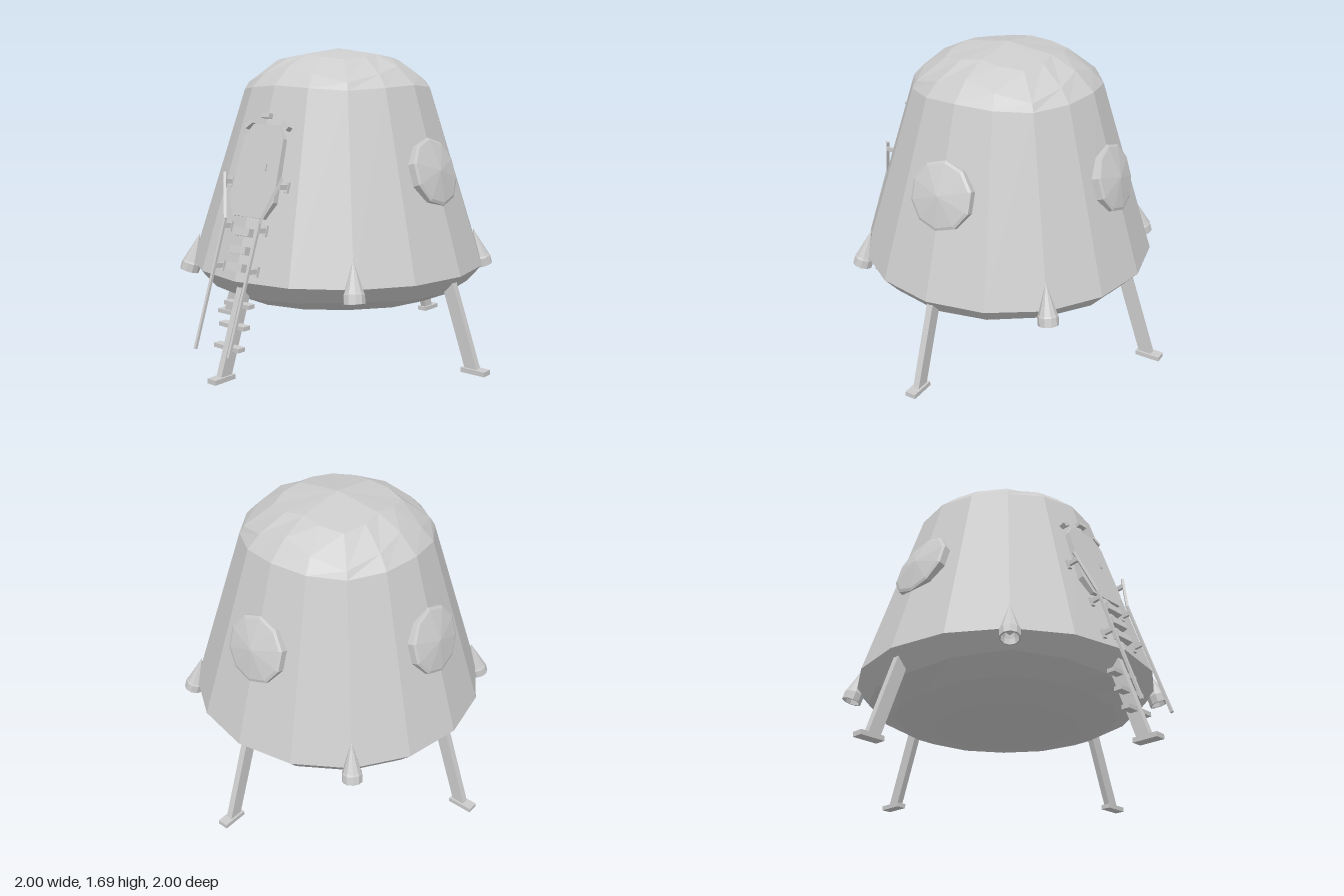
import * as THREE from 'three';

const material = new THREE.MeshStandardMaterial({ color: 0xcccccc, flatShading: true });
const openMaterial = new THREE.MeshStandardMaterial({ color: 0xcccccc, flatShading: true, side: THREE.DoubleSide });
const TILT = Math.atan(0.31 / 0.99);            // slope of the hull wall
const wall = (y) => 0.83 - (y - 0.5) * 0.313;   // hull radius at height y

function add(parent, name, geometry, x = 0, y = 0, z = 0, mat = material) {
  const mesh = new THREE.Mesh(geometry, mat);
  mesh.name = name;
  mesh.position.set(x, y, z);
  parent.add(mesh);
  return mesh;
}

const box = (parent, name, w, h, d, x, y, z) => add(parent, name, new THREE.BoxGeometry(w, h, d), x, y, z);

// Straight bar of section w x h between two points
function bar(parent, name, a, b, w, h) {
  const from = new THREE.Vector3(...a), to = new THREE.Vector3(...b);
  const mesh = new THREE.Mesh(new THREE.BoxGeometry(w, h, from.distanceTo(to)), material);
  mesh.name = name;
  mesh.position.copy(from).add(to).multiplyScalar(0.5);
  mesh.lookAt(to);
  parent.add(mesh);
  return mesh;
}

// Group whose local +z points outward at the given heading
function spoke(parent, name, angle) {
  const group = new THREE.Group();
  group.name = name;
  group.rotation.y = angle;
  parent.add(group);
  return group;
}

// Rings: radius and height on the axes, then on the diagonals
function hullGeometry() {
  const rings = [
    [0, 0.255, 0, 0.255], [0.38, 0.283, 0.4, 0.29], [0.59, 0.33, 0.62, 0.345],
    [0.73, 0.39, 0.76, 0.42], [0.83, 0.5, 0.83, 0.5], [0.52, 1.49, 0.525, 1.465],
    [0.41, 1.59, 0.5, 1.505], [0.265, 1.655, 0.34, 1.625], [0, 1.69, 0, 1.69],
  ];
  const sides = 16, positions = [], index = [];
  for (const [r0, y0, r1, y1] of rings) {
    for (let i = 0; i < sides; i++) {
      const a = (i / sides) * Math.PI * 2, k = Math.sin(2 * a) ** 2;
      const r = r0 + (r1 - r0) * k;
      positions.push(r * Math.sin(a), y0 + (y1 - y0) * k, r * Math.cos(a));
    }
  }
  for (let j = 0; j < rings.length - 1; j++) {
    for (let i = 0; i < sides; i++) {
      const n = (i + 1) % sides, a = j * sides + i, b = j * sides + n;
      if (j > 0) index.push(a, b, b + sides);
      if (j < rings.length - 2) index.push(a, b + sides, a + sides);
      else index.push(a, b, a + sides);
    }
  }
  // the lowest fan needs its own triangles, as its inner ring is a point
  for (let i = 0; i < sides; i++) index.push(i, sides + (i + 1) % sides, sides + i);
  const geometry = new THREE.BufferGeometry();
  geometry.setAttribute('position', new THREE.Float32BufferAttribute(positions, 3));
  geometry.setIndex(index);
  const flat = geometry.toNonIndexed();
  flat.computeVertexNormals();
  return flat;
}

const profile = (points) => points.map(([x, y]) => new THREE.Vector2(x, y));

export function createModel() {
  const model = new THREE.Group();
  model.name = 'landingCapsule';
  add(model, 'hull', hullGeometry());

  // Legs with flat feet
  for (let i = 0; i < 4; i++) {
    const leg = spoke(model, 'leg', i * Math.PI / 2);
    bar(leg, 'strut', [0, 0.015, 0.915], [0, 0.5, 0.745], 0.036, 0.07);
    box(leg, 'foot', 0.06, 0.025, 0.14, 0, 0.0125, 0.93);
  }

  // Bulging round windows on both sides and the back
  const lens = new THREE.LatheGeometry(profile([[0.185, -0.06], [0.185, 0.004], [0.17, 0.012], [0, 0.04]]), 10);
  lens.rotateX(Math.PI / 2);
  for (const angle of [Math.PI / 2, Math.PI, -Math.PI / 2]) {
    const side = spoke(model, 'window', angle);
    add(side, 'windowLens', lens, 0, 1.04, wall(1.04), openMaterial).rotation.x = -TILT;
  }

  // Thruster nozzles on the diagonals, open at the bottom
  const nozzle = new THREE.LatheGeometry(profile([
    [0, -0.06], [0.042, -0.19], [0.046, -0.222], [0.055, -0.222], [0.055, -0.175], [0.05, -0.165], [0, 0],
  ]), 10);
  for (let i = 0; i < 4; i++) {
    const corner = spoke(model, 'thruster', Math.PI / 4 + i * Math.PI / 2);
    add(corner, 'nozzle', nozzle, 0, 0.648, 0.792, openMaterial).rotation.x = -0.29;
  }

  // Door panel lying on the front wall
  const door = new THREE.Group();
  door.name = 'door';
  door.position.set(0, 1.06, wall(1.06));
  door.rotation.x = -TILT;
  model.add(door);
  const half = [[0.11, -0.25], [0.16, -0.16], [0.14, 0.17], [0.09, 0.24]];
  const outline = [...half, ...half.slice().reverse().map(([x, y]) => [-x, y])];
  const panel = new THREE.ExtrudeGeometry(new THREE.Shape(profile(outline)), { depth: 0.04, bevelEnabled: false });
  add(door, 'doorPanel', panel, 0, 0, -0.038);
  box(door, 'doorHandle', 0.012, 0.035, 0.012, 0.06, 0.015, 0.004);

  // Lamps over the door
  for (const s of [-1, 0, 1]) {
    const lamp = box(door, 'doorLamp', 0.055, 0.025, 0.035, s * 0.13, s ? 0.24 : 0.285, s ? -0.015 : 0.005);
    lamp.rotation.z = -s * 0.65;
  }

  // Steps on the hull and rungs on the front leg
  const ladder = new THREE.Group();
  ladder.name = 'ladder';
  model.add(ladder);
  for (const y of [0.57, 0.655, 0.745]) {
    box(ladder, 'hullStep', 0.11, 0.042, 0.05, 0, y, wall(y)).rotation.x = -TILT;
  }
  for (const y of [0.165, 0.27, 0.375]) {
    box(ladder, 'legRung', 0.18, 0.022, 0.045, 0, y, 0.93 - y * 0.35);
  }

  // Handrails: straight below, spreading beside the door, held by brackets
  const railZ = (y) => 1 - (y - 0.16) * 0.356;
  for (const s of [-1, 1]) {
    const rail = new THREE.Group();
    rail.name = s > 0 ? 'leftHandrail' : 'rightHandrail';
    model.add(rail);
    bar(rail, 'lowerRail', [s * 0.122, 0.16, 0.994], [s * 0.124, 0.81, railZ(0.81)], 0.014, 0.014);
    bar(rail, 'upperRail', [s * 0.124, 0.805, railZ(0.805)], [s * 0.208, 1.035, railZ(1.035)], 0.014, 0.014);
    for (const [x, y] of [[0.123, 0.57], [0.126, 0.77], [0.2, 0.99]]) {
      const z = wall(y) - x * 0.2;
      bar(rail, 'bracket', [s * x, y - 0.01, z - 0.02], [s * x, y, railZ(y)], 0.016, 0.025);
      box(rail, 'bracketPlate', 0.022, 0.055, 0.02, s * x, y - 0.01, z + 0.005).rotation.x = -TILT;
    }
  }
  return model;
}
